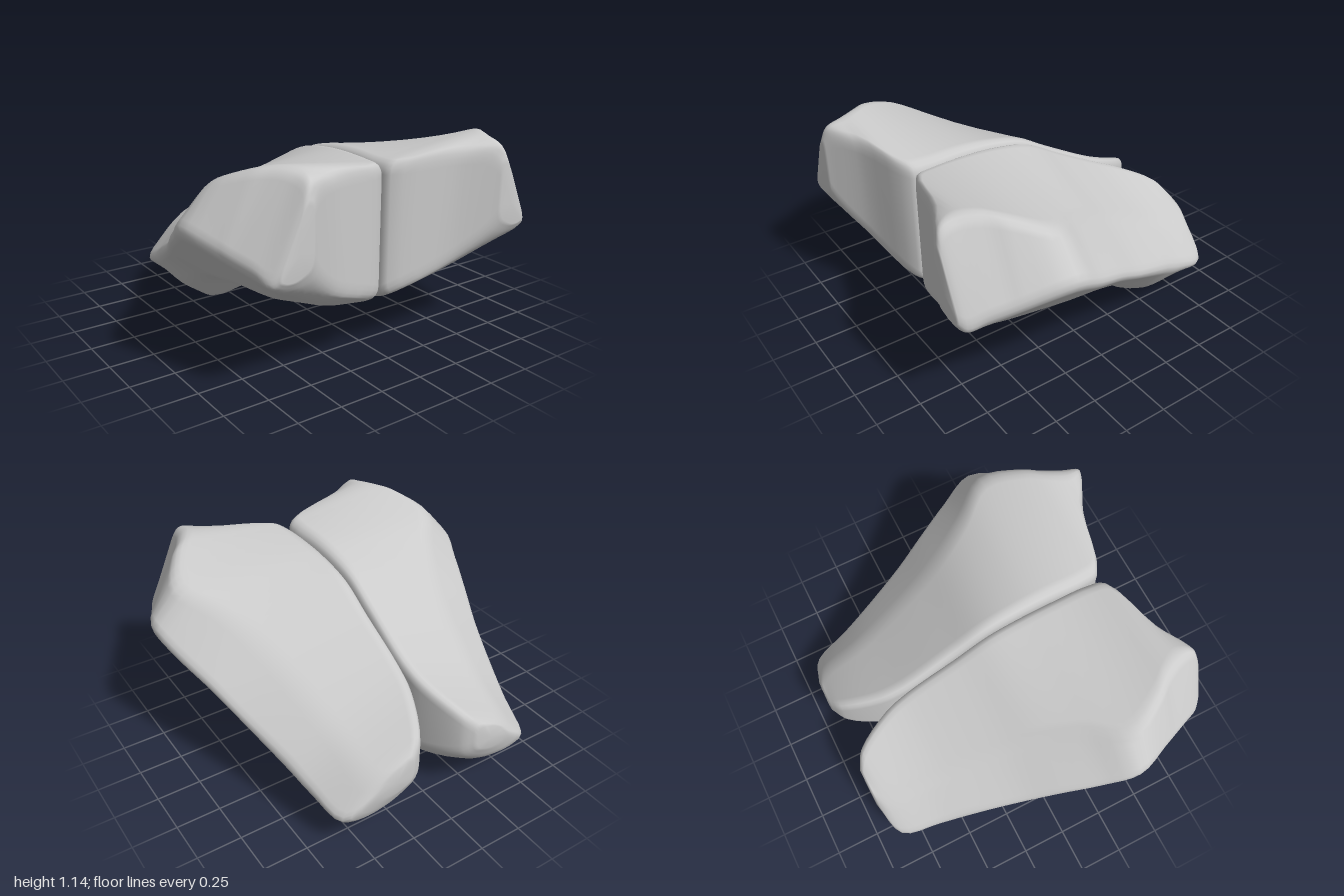
import * as THREE from 'three';

// Cross-sections along x: [x, inner z, inner bottom y, inner top y,
//   ridge z, ridge y, outer edge z, outer edge y, keel z, keel y]
const SECTIONS = [
  [-0.918, 0.21, 0.33, 0.48, 0.35, 0.43, 0.43, 0.33, 0.31, 0.29],
  [-0.86, 0.13, 0.27, 0.57, 0.44, 0.40, 0.63, 0.20, 0.31, 0.17],
  [-0.65, 0.03, 0.21, 0.68, 0.46, 0.49, 0.69, 0.28, 0.34, 0.02],
  [-0.5, 0.005, 0.20, 0.75, 0.48, 0.56, 0.73, 0.36, 0.35, -0.02],
  [-0.2, 0.005, 0.18, 0.91, 0.54, 0.72, 0.83, 0.50, 0.25, 0.18],
  [0.0, 0.005, 0.19, 1.02, 0.60, 0.84, 0.905, 0.62, 0.25, 0.22],
  [0.2, 0.005, 0.20, 1.06, 0.70, 0.95, 0.98, 0.72, 0.26, 0.25],
  [0.39, 0.005, 0.24, 1.07, 0.83, 1.04, 1.03, 0.81, 0.28, 0.28],
  [0.6, 0.005, 0.28, 1.06, 0.74, 1.13, 0.95, 0.75, 0.30, 0.32],
  [0.69, 0.03, 0.33, 1.06, 0.67, 1.15, 0.915, 0.72, 0.35, 0.38],
  [0.79, 0.36, 0.47, 1.08, 0.62, 1.15, 0.875, 0.69, 0.53, 0.49],
  [0.88, 0.54, 0.62, 1.07, 0.61, 1.12, 0.83, 0.65, 0.66, 0.60],
  [0.915, 0.60, 0.71, 1.00, 0.64, 1.01, 0.785, 0.68, 0.69, 0.66],
];

// Closed outline of one section, with every corner rounded off
function sectionRing([x, zi, yb, yt, zr, yr, ze, ye, zk, yk]) {
  const v = (z, y) => new THREE.Vector3(x, y, z);
  const width = ze - zk;
  const corners = [
    v(zi, yb), v(zi, yt), v(zr, yr), v(ze, ye),
    v((ze + zk) / 2 + width * 0.06, (ye + yk) / 2 - width * 0.11), v(zk, yk),
  ];
  const ring = [];
  corners.forEach((p, i) => {
    const toward = (q) => p.clone().lerp(q, Math.min(0.4, 0.075 / p.distanceTo(q)));
    const before = toward(corners[(i + 5) % 6]);
    const after = toward(corners[(i + 1) % 6]);
    ring.push(...new THREE.QuadraticBezierCurve3(before, p, after).getPoints(4));
  });
  return ring;
}

// Loft through the sections; side = 1 for the front block, -1 for its mirror
function blockGeometry(side) {
  const rings = SECTIONS.map(sectionRing);
  const count = rings[0].length;
  const steps = (SECTIONS.length - 1) * 4;
  const strands = rings[0].map((_, j) => {
    const curve = new THREE.CatmullRomCurve3(rings.map((r) => r[j]), false, 'centripetal');
    return curve.getPoints(steps);
  });
  const positions = [];
  const index = [];
  const face = (a, b, c) => index.push(...(side > 0 ? [a, b, c] : [a, c, b]));
  const add = (p) => positions.push(p.x, p.y, p.z * side);

  for (let i = 0; i <= steps; i++) strands.forEach((s) => add(s[i]));
  for (let i = 0; i < steps; i++) {
    for (let j = 0; j < count; j++) {
      const a = i * count + j;
      const b = i * count + ((j + 1) % count);
      face(a, b, b + count);
      face(a, b + count, a + count);
    }
  }
  // End caps
  for (const i of [0, steps]) {
    const centre = new THREE.Vector3();
    strands.forEach((s) => centre.addScaledVector(s[i], 1 / count));
    const c = positions.length / 3;
    add(centre);
    for (let j = 0; j < count; j++) {
      const a = i * count + j;
      const b = i * count + ((j + 1) % count);
      if (i === 0) face(c, b, a);
      else face(c, a, b);
    }
  }
  const geometry = new THREE.BufferGeometry();
  geometry.setAttribute('position', new THREE.Float32BufferAttribute(positions, 3));
  geometry.setIndex(index);
  geometry.computeVertexNormals();
  return geometry;
}

export function createModel() {
  const group = new THREE.Group();
  group.name = 'pairedBlocks';
  const material = new THREE.MeshStandardMaterial({ color: 0xcccccc });
  for (const [name, side] of [['frontBlock', 1], ['backBlock', -1]]) {
    const mesh = new THREE.Mesh(blockGeometry(side), material);
    mesh.name = name;
    group.add(mesh);
  }
  return group;
}
